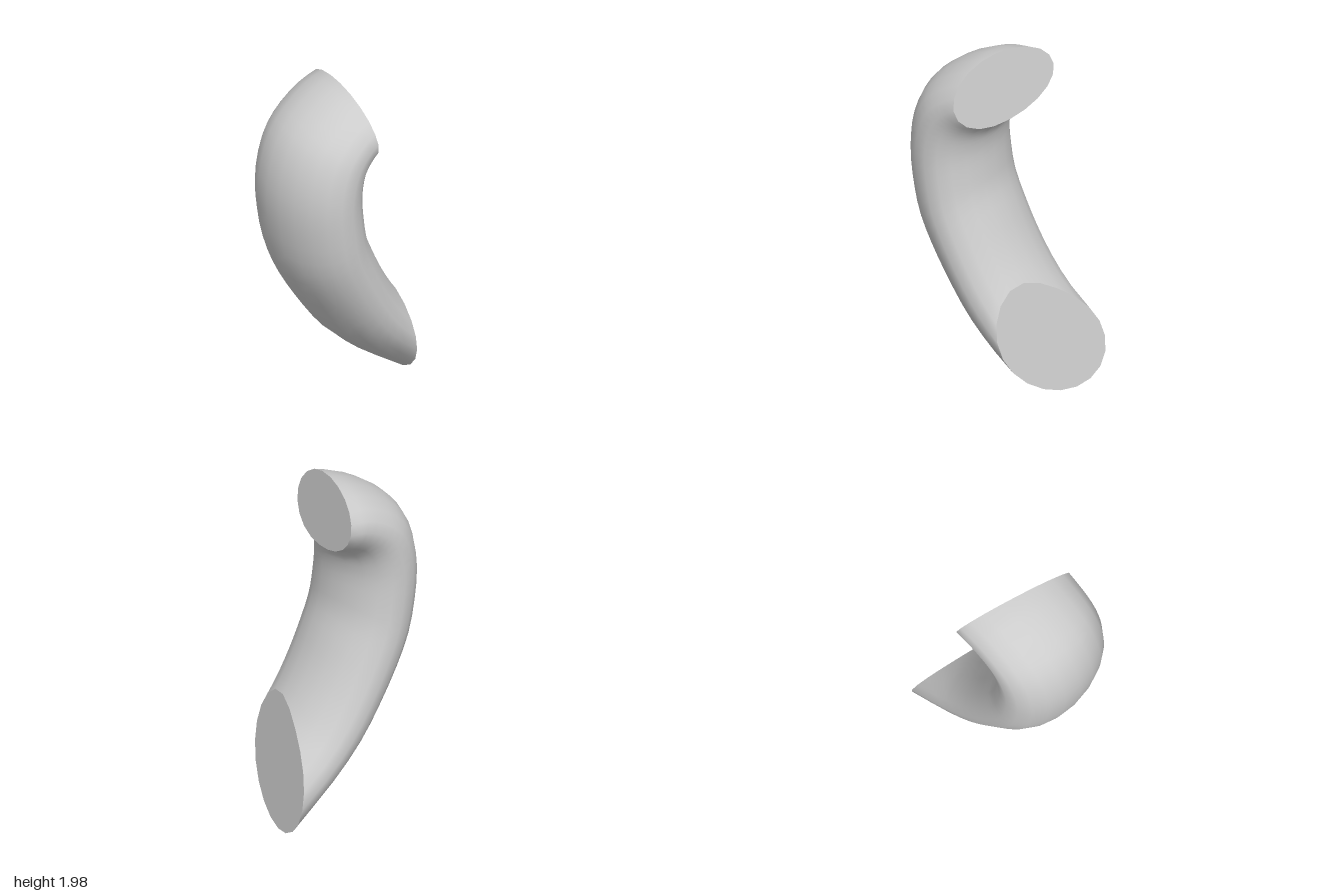
import * as THREE from 'three';

const SIDES = 20, SEGMENTS = 24, HALF_DEPTH = 0.345;

// Outer and inner edges of the bend in the z = 0 plane, paired from top to bottom
const edge = (pts) => new THREE.CatmullRomCurve3(pts.map(([x, y]) => new THREE.Vector3(x, y, 0)));
const outer = edge([
  [0.25, 2.01], [0.03, 2.0], [-0.1, 1.975], [-0.28, 1.88], [-0.395, 1.77], [-0.465, 1.61], [-0.49, 1.42],
  [-0.47, 1.21], [-0.42, 1.0], [-0.335, 0.82], [-0.21, 0.62], [-0.07, 0.43], [0.12, 0.25], [0.41, 0.03], [0.62, -0.13],
]);
const inner = edge([
  [0.25, 1.66], [0.1, 1.62], [0.055, 1.6], [0.02, 1.575], [-0.005, 1.54], [-0.02, 1.5], [-0.03, 1.42],
  [-0.02, 1.3], [0.0, 1.18], [0.06, 1.03], [0.13, 0.88], [0.22, 0.73], [0.34, 0.58], [0.6, 0.38], [0.8, 0.24],
]);

// Slanted plane that cuts both ends; positive values are cut away
const cut = (p) => p.x + 0.215 * p.y + 0.29 * p.z - 0.415;

// Point on the elliptical tube: a = angle round the section, t = along the bend
function tubePoint(a, t) {
  const p = outer.getPoint(t).lerp(inner.getPoint(t), (1 - Math.cos(a)) / 2);
  p.z = HALF_DEPTH * Math.sin(a);
  return p;
}

// Where the lengthwise line at angle a meets the cutting plane
function meetCut(a, outside, inside) {
  for (let k = 0; k < 30; k++) {
    const mid = (outside + inside) / 2;
    if (cut(tubePoint(a, mid)) > 0) outside = mid;
    else inside = mid;
  }
  return inside;
}

function meshFrom(points, index, name) {
  const geometry = new THREE.BufferGeometry().setFromPoints(points);
  geometry.setIndex(index);
  geometry.computeVertexNormals();
  const mesh = new THREE.Mesh(geometry, new THREE.MeshStandardMaterial({ color: 0xcccccc }));
  mesh.name = name;
  return mesh;
}

// Flat end face as a fan
function endFace(ring, flip, name) {
  const centre = new THREE.Vector3();
  ring.forEach((p) => centre.addScaledVector(p, 1 / ring.length));
  const index = [];
  for (let j = 0; j < SIDES; j++) {
    const k = (j + 1) % SIDES;
    index.push(SIDES, flip ? k : j, flip ? j : k);
  }
  return meshFrom([...ring, centre], index, name);
}

export function createModel() {
  const group = new THREE.Group();
  group.name = 'bentTube';

  // Rings of the tube, each lengthwise line running from cut to cut
  const spans = [];
  for (let j = 0; j < SIDES; j++) {
    const a = (j / SIDES) * Math.PI * 2;
    spans.push([a, meetCut(a, 0, 0.4), meetCut(a, 1, 0.6)]);
  }
  const points = [], index = [];
  for (let i = 0; i <= SEGMENTS; i++) {
    for (const [a, t0, t1] of spans) points.push(tubePoint(a, THREE.MathUtils.lerp(t0, t1, i / SEGMENTS)));
  }
  for (let i = 0; i < SEGMENTS; i++) {
    for (let j = 0; j < SIDES; j++) {
      const k = (j + 1) % SIDES;
      const a = i * SIDES + j, b = a + SIDES, c = i * SIDES + k, d = c + SIDES;
      index.push(a, b, c, b, d, c);
    }
  }

  group.add(
    meshFrom(points, index, 'tubeWall'),
    endFace(points.slice(0, SIDES), false, 'topEndFace'),
    endFace(points.slice(-SIDES), true, 'bottomEndFace'),
  );
  return group;
}
